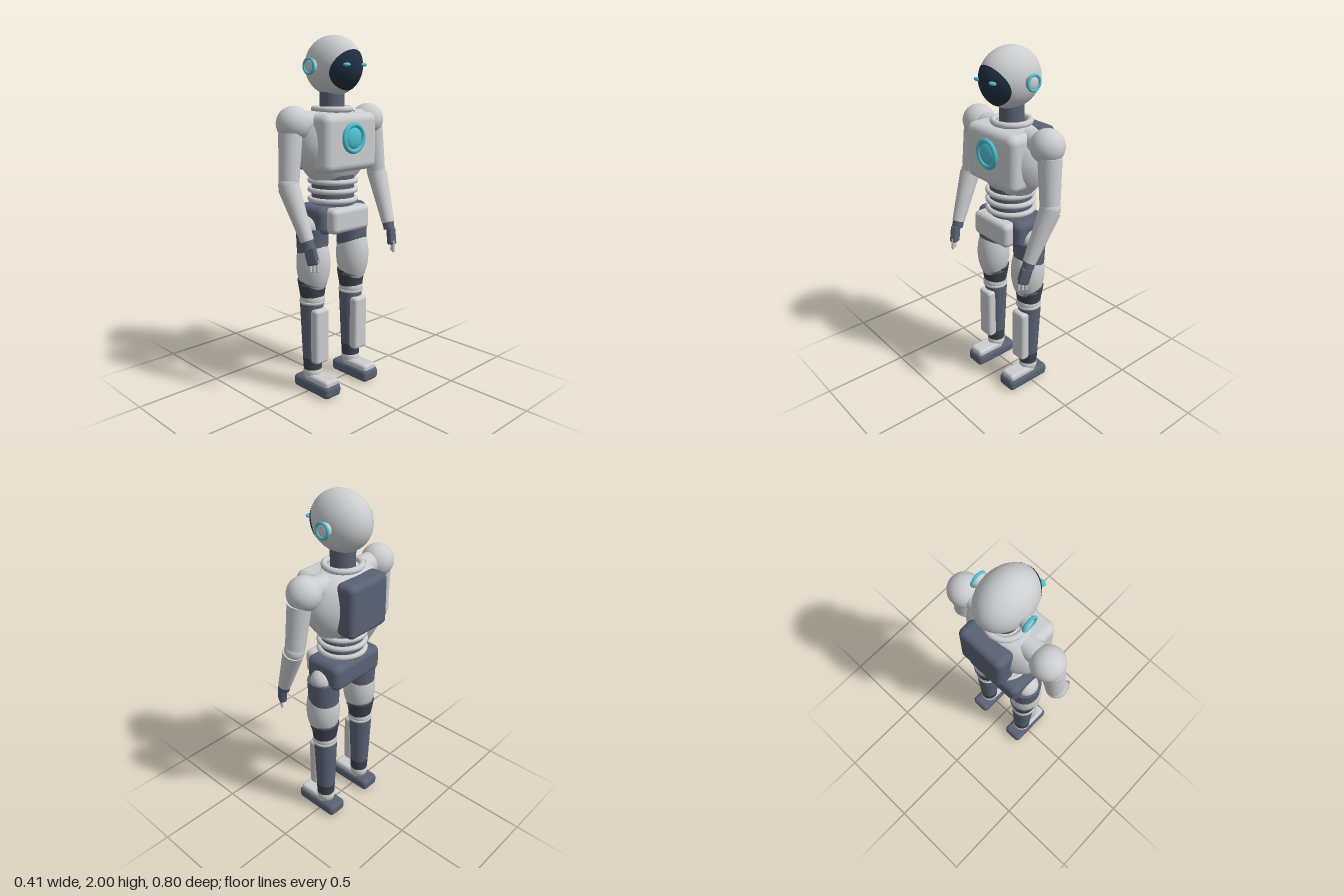
import * as THREE from 'three';
import { RoundedBoxGeometry } from 'three/addons/geometries/RoundedBoxGeometry.js';

const V = (x, y, z) => new THREE.Vector3(x, y, z);

export function createModel() {
  const root = new THREE.Group();
  root.name = 'humanoidRobot';
  const mat = (name, color) => {
    const m = new THREE.MeshStandardMaterial({ color });
    m.name = name;
    return m;
  };
  const shell = mat('lightShell', 0xcbcdcf);
  const slate = mat('slateGrey', 0x596275);
  const graphite = mat('graphite', 0x3c424e);
  const navy = mat('visorNavy', 0x1f2f43);
  const cyan = mat('cyanGlow', 0x4fbfd1);

  const add = (parent, name, geo, material, x = 0, y = 0, z = 0) => {
    const m = new THREE.Mesh(geo, material);
    m.name = name;
    m.position.set(x, y, z);
    parent.add(m);
    return m;
  };
  const ball = (p, name, material, c, rx, ry = rx, rz = rx) =>
    add(p, name, new THREE.SphereGeometry(1, 40, 28).scale(rx, ry, rz), material, ...c);
  // Rounded box given by its min and max on each axis
  const box = (p, name, material, x, y, z, r) =>
    add(p, name, new RoundedBoxGeometry(x[1] - x[0], y[1] - y[0], z[1] - z[0], 5, r), material,
      (x[0] + x[1]) / 2, (y[0] + y[1]) / 2, (z[0] + z[1]) / 2);
  // Tapered cylinder from point a to point b
  const limb = (p, name, material, a, b, ra, rb) => {
    const d = b.clone().sub(a);
    const m = add(p, name, new THREE.CylinderGeometry(rb, ra, d.length(), 32), material);
    m.position.copy(a).addScaledVector(d, 0.5);
    m.quaternion.setFromUnitVectors(V(0, 1, 0), d.normalize());
    return m;
  };
  const ring = (p, name, material, R, t, x, y, z, axis) => {
    const g = new THREE.TorusGeometry(R, t, 14, 48);
    if (axis === 'y') g.rotateX(Math.PI / 2);
    if (axis === 'x') g.rotateY(Math.PI / 2);
    return add(p, name, g, material, x, y, z);
  };

  // Head, facing +x
  const head = new THREE.Group();
  head.name = 'head';
  root.add(head);
  const H = { x: 0.177, y: 0.161, z: 0.136, cy: 1.839 };
  ball(head, 'skull', shell, [0, H.cy, 0], H.x, H.y, H.z);

  // Oval visor laid onto the head surface
  const visor = new THREE.RingGeometry(0.0001, 1, 56, 16);
  const vp = visor.attributes.position;
  for (let i = 0; i < vp.count; i++) {
    const z = -vp.getX(i) * 0.115, y = 1.815 + vp.getY(i) * 0.105 - H.cy;
    const x = H.x * Math.sqrt(Math.max(0, 1 - (z / H.z) ** 2 - (y / H.y) ** 2));
    vp.setXYZ(i, x * 1.015, y * 1.01, z * 1.01);
  }
  visor.computeVertexNormals();
  add(head, 'visor', visor, navy, 0, H.cy, 0);

  for (const s of [1, -1]) {
    ball(head, 'eye', cyan, [0.164, 1.842, s * 0.06], 0.015, 0.01, 0.025);
    // Ear pods
    limb(head, 'earPod', shell, V(-0.02, 1.835, s * 0.11), V(-0.02, 1.835, s * 0.158), 0.03, 0.042);
    ball(head, 'earCap', shell, [-0.02, 1.835, s * 0.156], 0.034, 0.034, 0.01);
    ring(head, 'earRing', cyan, 0.039, 0.008, -0.02, 1.835, s * 0.16, 'z');
  }

  // Neck and collar
  limb(root, 'neck', slate, V(-0.01, 1.57, 0), V(-0.01, 1.71, 0), 0.068, 0.068);
  ring(root, 'collar', shell, 0.1, 0.017, -0.01, 1.608, 0, 'y');

  // Torso
  const torso = new THREE.Group();
  torso.name = 'torso';
  root.add(torso);
  const profile = [[0, 1.222], [0.13, 1.224], [0.175, 1.255], [0.215, 1.31], [0.238, 1.37], [0.245, 1.43],
    [0.232, 1.5], [0.195, 1.56], [0.12, 1.595], [0, 1.603]];
  const curve = new THREE.SplineCurve(profile.map(([r, y]) => new THREE.Vector2(r, y)));
  const pts = curve.getPoints(40).map((p) => new THREE.Vector2(Math.max(0, p.x), p.y));
  add(torso, 'ribcage', new THREE.LatheGeometry(pts, 56).scale(0.63, 1, 1), shell);
  box(torso, 'chestPlate', shell, [-0.05, 0.156], [1.275, 1.59], [-0.198, 0.198], 0.045);
  box(torso, 'backpack', slate, [-0.205, -0.085], [1.27, 1.575], [-0.145, 0.145], 0.035);
  ring(torso, 'coreRing', cyan, 0.071, 0.014, 0.159, 1.458, 0, 'x');
  ball(torso, 'coreLens', cyan, [0.153, 1.458, 0], 0.025, 0.062, 0.062);

  // Ribbed waist
  limb(root, 'waistCore', slate, V(-0.005, 1.06, 0), V(-0.005, 1.25, 0), 0.12, 0.12);
  for (const y of [1.215, 1.163, 1.11]) ring(root, 'waistRib', shell, 0.128, 0.015, -0.005, y, 0, 'y');

  // Pelvis
  box(root, 'pelvis', slate, [-0.135, 0.1], [0.93, 1.088], [-0.185, 0.185], 0.04);
  box(root, 'pelvisPlate', shell, [0.06, 0.155], [0.94, 1.08], [-0.142, 0.142], 0.03);

  for (const s of [-1, 1]) {
    const side = s < 0 ? 'left' : 'right';
    const P = (x, y, z) => V(x, y, s * z);

    // Arm
    const arm = new THREE.Group();
    arm.name = side + 'Arm';
    root.add(arm);
    limb(arm, 'shoulderJoint', shell, P(-0.005, 1.54, 0.14), P(-0.005, 1.54, 0.25), 0.062, 0.062);
    ball(arm, 'shoulder', shell, P(-0.008, 1.54, 0.282), 0.092);
    limb(arm, 'upperArm', shell, P(0, 1.49, 0.31), P(0.015, 1.24, 0.336), 0.064, 0.054);
    ball(arm, 'elbow', shell, P(0.017, 1.225, 0.34), 0.056);
    limb(arm, 'forearm', shell, P(0.02, 1.215, 0.344), P(0.135, 0.94, 0.318), 0.058, 0.036);
    limb(arm, 'wristCuff', slate, P(0.13, 0.95, 0.319), P(0.146, 0.905, 0.316), 0.034, 0.032);
    const palm = add(arm, 'palm', new RoundedBoxGeometry(0.062, 0.1, 0.042, 4, 0.012), slate);
    palm.position.copy(P(0.164, 0.865, 0.315));
    palm.rotation.set(0, s * 0.5, 0.25);
    for (const k of [-1, 0, 1]) {
      const x = 0.178 + k * 0.016, z = 0.312 - k * 0.011;
      const finger = add(arm, 'finger', new THREE.CapsuleGeometry(0.0085, 0.055, 4, 12), shell);
      finger.position.copy(P(x, 0.81, z));
    }

    // Leg
    const leg = new THREE.Group();
    leg.name = side + 'Leg';
    root.add(leg);
    const z = 0.155;
    ball(leg, 'hipJoint', shell, P(-0.01, 0.965, 0.165), 0.068);
    limb(leg, 'thighCore', slate, P(-0.005, 0.64, z), P(-0.008, 0.965, z), 0.08, 0.092);
    ball(leg, 'thighShell', shell, P(0, 0.762, z), 0.098, 0.19, 0.094);
    limb(leg, 'kneeSleeve', graphite, P(-0.01, 0.565, z), P(-0.012, 0.665, z), 0.068, 0.083);
    ball(leg, 'knee', shell, P(-0.01, 0.555, z), 0.073, 0.065, 0.07);
    ring(leg, 'kneeRing', shell, 0.064, 0.01, -0.01, 0.537, s * z, 'y');
    limb(leg, 'shin', slate, P(-0.012, 0.2, z), P(-0.015, 0.527, z), 0.056, 0.068);
    limb(leg, 'shinCuff', graphite, P(-0.01, 0.13, z), P(-0.012, 0.2, z), 0.053, 0.056);
    box(leg, 'shinPlate', shell, [0.02, 0.081], [0.18, 0.505], [s * z - 0.05, s * z + 0.05], 0.02);

    // Foot
    ball(leg, 'ankle', shell, P(-0.012, 0.105, z), 0.056, 0.056, 0.052);
    box(leg, 'footTop', shell, [-0.03, 0.158], [0.055, 0.103], [s * z - 0.05, s * z + 0.05], 0.018);
    box(leg, 'sole', slate, [-0.117, 0.17], [0, 0.074], [s * z - 0.061, s * z + 0.061], 0.025);
  }
  return root;
}
